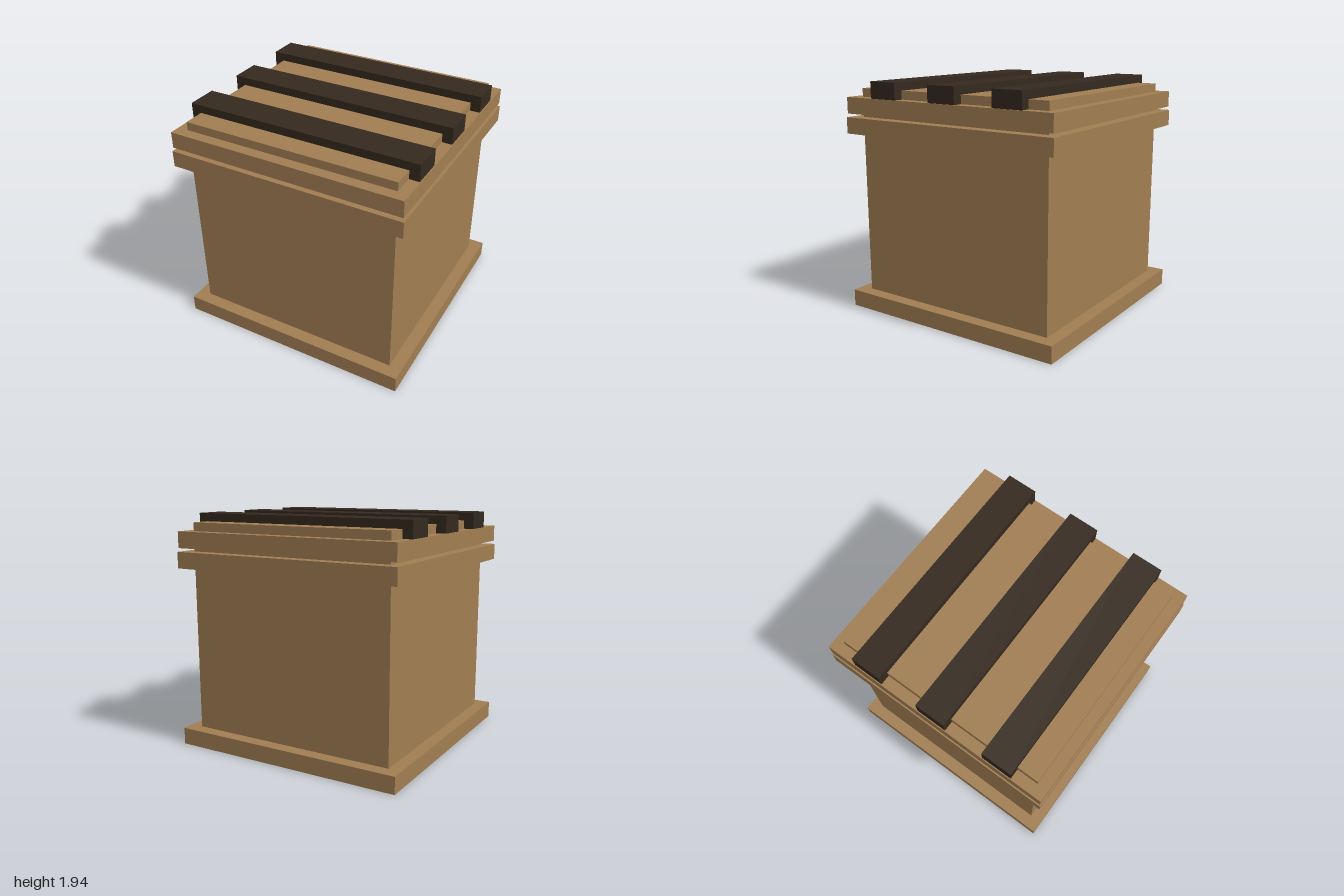
import * as THREE from 'three';

export function createModel() {
  const group = new THREE.Group();
  const wood = new THREE.MeshStandardMaterial({ color: 0xa07d52, flatShading: true });
  const darkWood = new THREE.MeshStandardMaterial({ color: 0x34291e, flatShading: true });

  // box standing between two heights
  const addBox = (name, width, depth, bottom, top, material, z = 0) => {
    const mesh = new THREE.Mesh(new THREE.BoxGeometry(width, top - bottom, depth), material);
    mesh.name = name;
    mesh.position.set(0, (bottom + top) / 2, z);
    group.add(mesh);
  };

  // crate body, running up through the rims, starting on the base plinth
  addBox('body', 1.79, 1.79, 0.14, 1.875, wood);
  addBox('base', 2, 2, 0, 0.14, wood);

  // two stacked rims separated by a narrow gap
  addBox('lowerRim', 1.985, 1.985, 1.505, 1.64, wood);
  addBox('upperRim', 1.97, 1.97, 1.67, 1.805, wood);

  // dark slats across the lid
  [-0.597, 0, 0.592].forEach((z, i) => addBox(`slat${i + 1}`, 1.955, 0.255, 1.805, 1.942, darkWood, z));

  return group;
}
